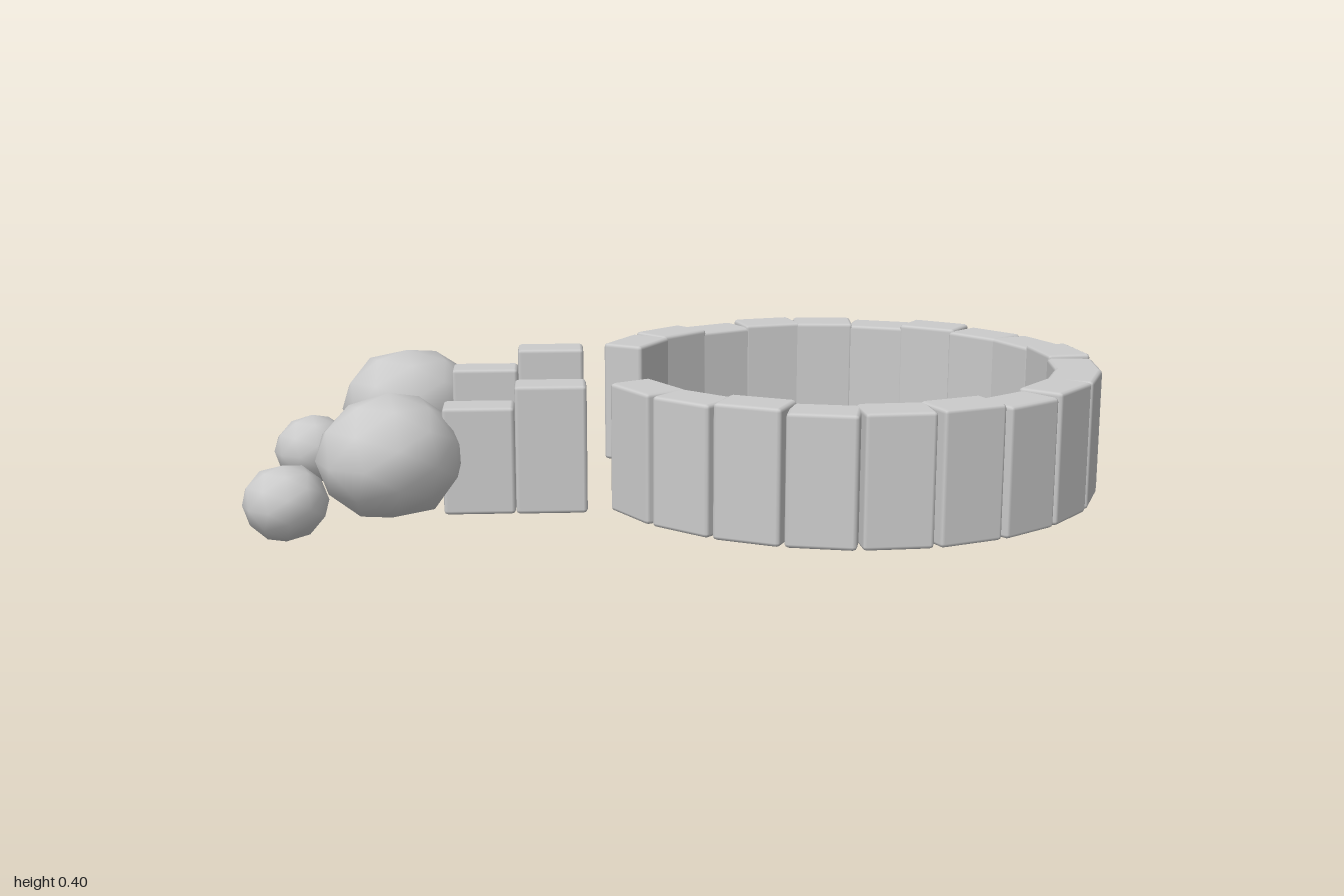
import * as THREE from 'three';
import { RoundedBoxGeometry } from 'three/addons/geometries/RoundedBoxGeometry.js';
import { mergeVertices } from 'three/addons/utils/BufferGeometryUtils.js';

const stone = new THREE.MeshStandardMaterial({ color: 0xcccccc });
const BASE = 0.06;
const BACK_LEFT = Math.PI * 1.25; // heading of the opening, from +x towards +z

// Bevelled block standing on the base line; its length axis is local z
function block(name, thick, height, length, x, z, angle) {
  const mesh = new THREE.Mesh(new RoundedBoxGeometry(thick, height, length, 1, 0.01), stone);
  mesh.name = name;
  mesh.position.set(x, BASE + height / 2, z);
  mesh.rotation.y = -angle;
  return mesh;
}

// Coarse, slightly lumpy boulder with smooth normals
function boulder(name, rx, ry, rz, x, y, z, phase) {
  let geo = new THREE.IcosahedronGeometry(1, 1);
  geo.deleteAttribute('uv');
  geo.deleteAttribute('normal');
  geo = mergeVertices(geo, 1e-3);
  const pos = geo.attributes.position;
  const v = new THREE.Vector3();
  for (let i = 0; i < pos.count; i++) {
    v.fromBufferAttribute(pos, i);
    v.multiplyScalar(1 + 0.035 * Math.sin(4 * v.x + phase) * Math.cos(3 * v.z + 2 * v.y + phase));
    pos.setXYZ(i, v.x * rx, v.y * ry, v.z * rz);
  }
  geo.computeVertexNormals();
  const mesh = new THREE.Mesh(geo, stone);
  mesh.name = name;
  mesh.position.set(x, y, z);
  return mesh;
}

export function createModel() {
  const model = new THREE.Group();
  model.name = 'stoneEnclosure';

  // Open ring of upright blocks, gap facing back left
  const ring = new THREE.Group();
  ring.name = 'ringWall';
  const count = 20, centre = 0.315, radius = 0.61;
  const gap = THREE.MathUtils.degToRad(31.1);
  for (let i = 0; i < count; i++) {
    const a = BACK_LEFT + gap + (i / (count - 1)) * (2 * Math.PI - 2 * gap);
    const height = 0.328 + 0.005 * Math.sin(i * 2.3);
    const b = block('ringBlock', 0.118, height, 0.17,
      centre + radius * Math.cos(a), centre + radius * Math.sin(a), a + 0.025 * Math.sin(i * 1.7));
    ring.add(b);
  }
  model.add(ring);

  // Two entrance arms, mirrored across the diagonal by swapping x and z
  for (const swap of [false, true]) {
    const arm = new THREE.Group();
    arm.name = swap ? 'backArm' : 'frontArm';
    const at = (x, z) => (swap ? [z, x] : [x, z]);
    const phase = swap ? 1.3 : 0;
    const along = BACK_LEFT + Math.PI / 2;
    arm.add(block('tallArmBlock', 0.1, 0.325, 0.178, ...at(-0.4, -0.047), along));
    arm.add(block('lowArmBlock', 0.1, 0.272, 0.178, ...at(-0.525, -0.175), along));

    const [bx, bz] = at(-0.718, -0.288);
    arm.add(boulder('largeBoulder', swap ? 0.195 : 0.187, 0.158, 0.176, bx, 0.217, bz, phase));
    const [sx, sz] = at(-0.893, -0.488);
    arm.add(boulder('smallBoulder', 0.107, 0.097, 0.107, sx, 0.097, sz, phase + 2));
    model.add(arm);
  }
  return model;
}
